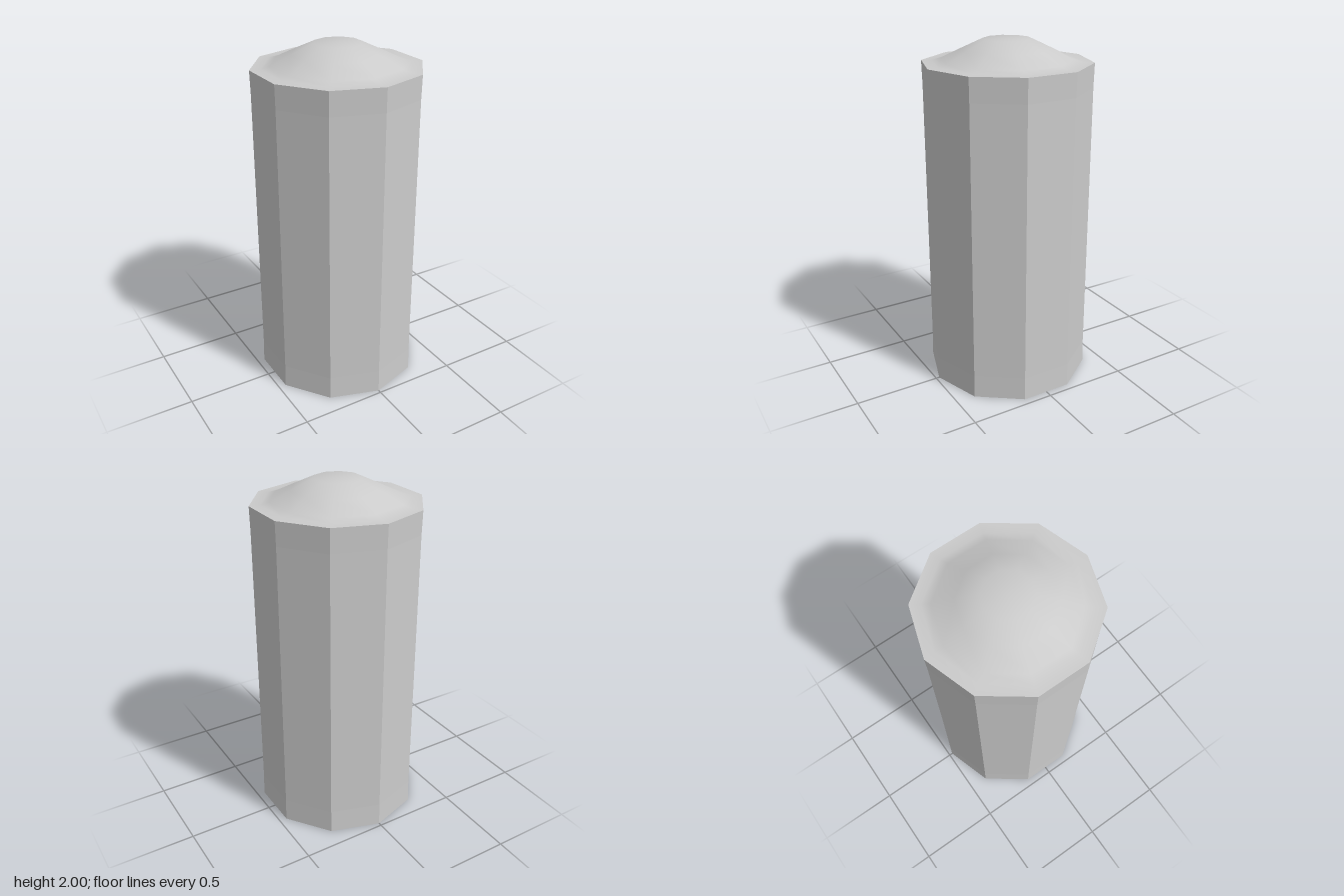
import * as THREE from 'three';

const SIDES = 10;

// Ten-sided turned surface from [radius, height] pairs, listed bottom to top
function turned(name, profile, flatShading) {
  const points = profile.map(([r, y]) => new THREE.Vector2(r, y));
  const material = new THREE.MeshStandardMaterial({ color: 0xcccccc, flatShading });
  const mesh = new THREE.Mesh(new THREE.LatheGeometry(points, SIDES), material);
  mesh.name = name;
  return mesh;
}

export function createModel() {
  const group = new THREE.Group();
  group.name = 'can';

  // Flat base
  group.add(turned('base', [[0, 0], [0.48, 0]], true));

  // Faceted wall, very slightly waisted between the two rim bands
  group.add(turned('lowerRim', [[0.48, 0], [0.477, 0.14]], true));
  group.add(turned('body', [[0.477, 0.14], [0.477, 1.74]], true));
  group.add(turned('upperRim', [[0.477, 1.74], [0.48, 1.875]], true));

  // Smooth lid: flat ledge rising to a shallow dome with a level crown
  group.add(turned('lid', [
    [0.48, 1.875], [0.42, 1.876], [0.37, 1.89], [0.255, 1.945], [0.135, 2], [0, 2],
  ], false));

  return group;
}
